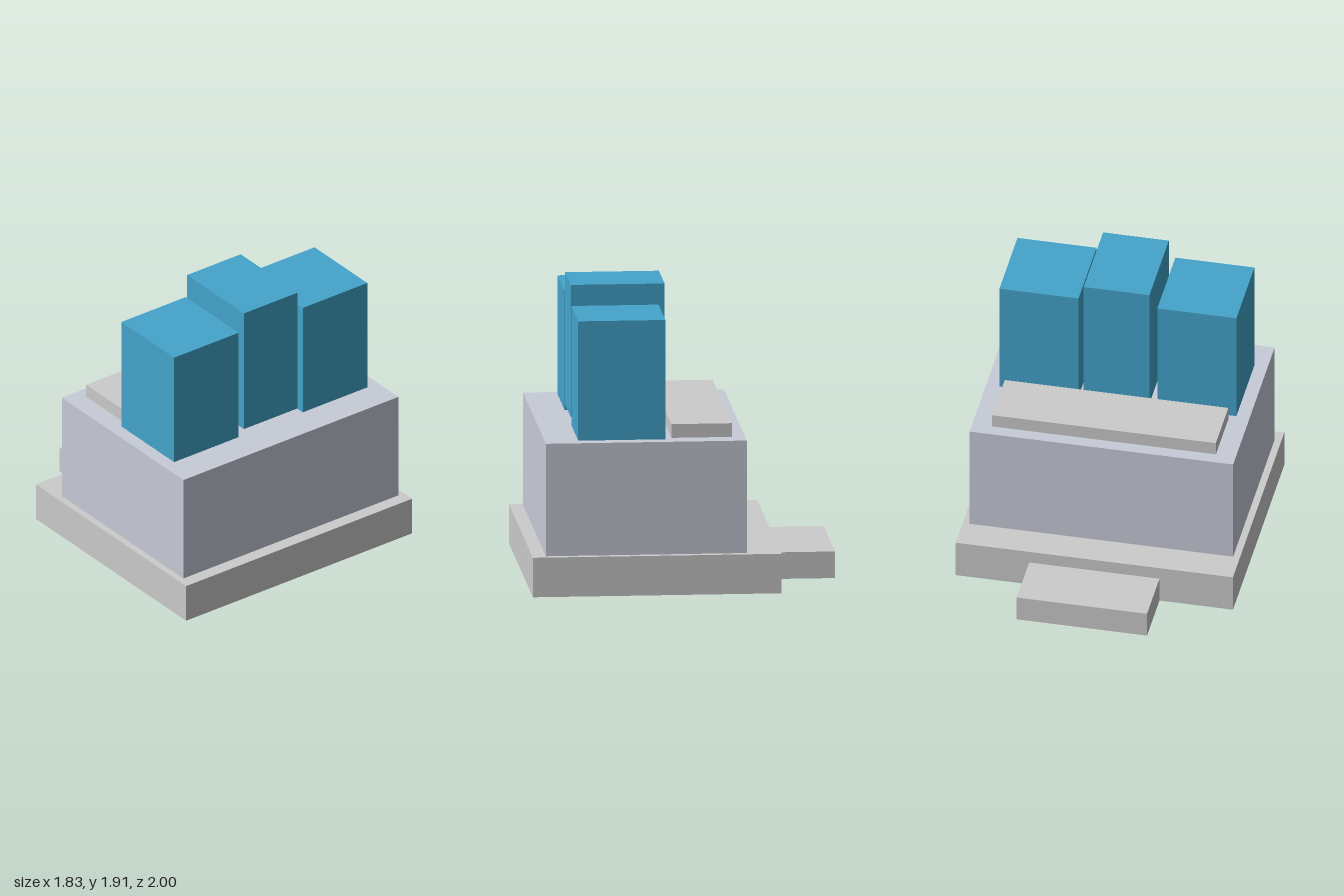
import * as THREE from 'three';

const grey = new THREE.MeshStandardMaterial({ color: 0xcccccc });
const paleBlueGrey = new THREE.MeshStandardMaterial({ color: 0xc8ccd8 });
const blue = new THREE.MeshStandardMaterial({ color: 0x44a4cc });

// Box given by its extents on each axis
function block(name, material, [x0, x1], [y0, y1], [z0, z1]) {
  const mesh = new THREE.Mesh(new THREE.BoxGeometry(x1 - x0, y1 - y0, z1 - z0), material);
  mesh.position.set((x0 + x1) / 2, (y0 + y1) / 2, (z0 + z1) / 2);
  mesh.name = name;
  return mesh;
}

export function createModel() {
  const model = new THREE.Group();
  model.name = 'blockBuilding';

  // Plinth with a lower step at the back
  model.add(block('plinth', grey, [-0.915, 0.915], [0, 0.26], [-0.61, 1]));
  model.add(block('backStep', grey, [-0.43, 0.43], [0, 0.175], [-1, -0.61]));

  // Main body and the low slab on its roof
  model.add(block('body', paleBlueGrey, [-0.87, 0.87], [0.26, 1], [-0.39, 0.912]));
  model.add(block('roofSlab', grey, [-0.738, 0.738], [1, 1.09], [-0.305, 0.087]));

  // Three towers; the taller middle one is raised slightly off the roof
  model.add(block('middleTower', blue, [-0.217, 0.217], [1.045, 1.915], [0.087, 0.695]));
  model.add(block('leftTower', blue, [0.26, 0.782], [1, 1.785], [0.13, 0.695]));
  model.add(block('rightTower', blue, [-0.782, -0.26], [1, 1.785], [0.13, 0.695]));

  return model;
}
